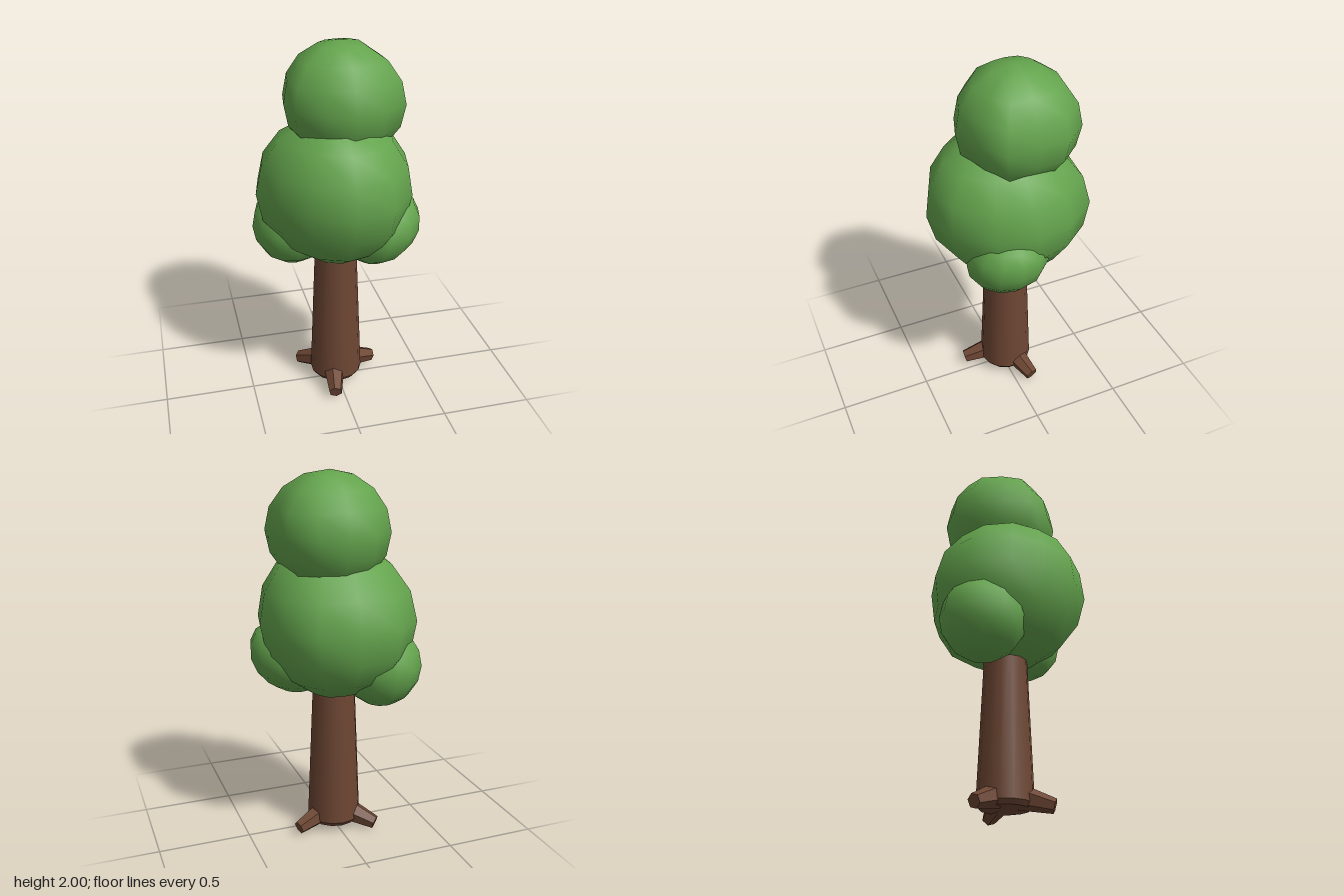
import * as THREE from 'three';
import { mergeVertices } from 'three/addons/utils/BufferGeometryUtils.js';

const leafGreen = new THREE.MeshStandardMaterial({ color: 0x64a44d });
leafGreen.name = 'leafGreen';
const barkBrown = new THREE.MeshStandardMaterial({ color: 0x6d4633 });
barkBrown.name = 'barkBrown';

// Regular twelve-cornered outline, from +x towards +z
const evenOutline = (rx, rz) => Array.from({ length: 12 }, (_, k) =>
  [rx * Math.cos(k * Math.PI / 6), rz * Math.sin(k * Math.PI / 6)]);

// Smooth-shaded 12 x 8 ball of leaves; the outline gives its widest ring as [x, z],
// and lean shifts each ring sideways in proportion to its height
function leafBall(name, center, height, outline, lean = [0, 0]) {
  let geo = new THREE.SphereGeometry(1, 12, 8);
  geo.deleteAttribute('normal');
  geo.deleteAttribute('uv');
  geo = mergeVertices(geo, 1e-3);
  const pos = geo.attributes.position;
  for (let i = 0; i < pos.count; i++) {
    const x = pos.getX(i), z = pos.getZ(i), y = pos.getY(i) * height;
    const column = (Math.round(Math.atan2(z, x) / (Math.PI / 6)) + 12) % 12;
    const ring = Math.hypot(x, z);
    pos.setXYZ(i, outline[column][0] * ring + lean[0] * y, y, outline[column][1] * ring + lean[1] * y);
  }
  geo.computeVertexNormals();
  const mesh = new THREE.Mesh(geo, leafGreen);
  mesh.name = name;
  mesh.position.set(...center);
  return mesh;
}

// Tapered six-sided root between two points, with flat faces
function root(name, from, to) {
  const a = new THREE.Vector3(...from);
  const b = new THREE.Vector3(...to);
  const dir = b.clone().sub(a);
  const geo = new THREE.CylinderGeometry(0.038, 0.064, dir.length(), 6).toNonIndexed();
  geo.computeVertexNormals();
  const mesh = new THREE.Mesh(geo, barkBrown);
  mesh.name = name;
  mesh.position.copy(a).add(b).multiplyScalar(0.5);
  mesh.quaternion.setFromUnitVectors(new THREE.Vector3(0, 1, 0), dir.normalize());
  return mesh;
}

export function createModel() {
  const tree = new THREE.Group();
  tree.name = 'tree';

  // Trunk: smooth taper with a closed, slightly bevelled foot
  const side = new THREE.Mesh(new THREE.CylinderGeometry(0.112, 0.148, 0.87, 14, 1, true), barkBrown);
  side.name = 'trunk';
  side.position.set(0, 0.5, -0.017);
  const foot = new THREE.Mesh(new THREE.CylinderGeometry(0.148, 0.13, 0.025, 14), barkBrown);
  foot.name = 'trunkFoot';
  foot.position.set(0, 0.0525, -0.017);
  tree.add(side, foot);

  // Three roots spreading from the foot
  tree.add(
    root('frontRoot', [-0.03, 0.095, 0.06], [-0.06, 0.047, 0.225]),
    root('leftRoot', [0.07, 0.095, -0.04], [0.235, 0.042, -0.09]),
    root('rightRoot', [-0.07, 0.09, -0.07], [-0.19, 0.038, -0.175]),
  );

  // Crown: main ball, top ball and two low side balls
  const mainOutline = [
    [0.41, -0.02], [0.363, 0.187], [0.22, 0.365], [0, 0.425], [-0.21, 0.34], [-0.345, 0.18],
    [-0.43, -0.02], [-0.385, -0.24], [-0.225, -0.4], [0, -0.428], [0.22, -0.403], [0.355, -0.23],
  ];
  const topOutline = [
    [0.295, 0], [0.3, 0.165], [0.17, 0.255], [0.005, 0.315], [-0.145, 0.265], [-0.275, 0.165],
    [-0.3, 0.005], [-0.275, -0.16], [-0.155, -0.27], [0.005, -0.31], [0.17, -0.285], [0.285, -0.16],
  ];
  tree.add(
    leafBall('mainLeaves', [0, 1.22, 0], 0.42, mainOutline, [0, 0.07]),
    leafBall('topLeaves', [0.035, 1.69, -0.05], 0.31, topOutline),
    leafBall('leftLeaves', [0.225, 1.008, 0.075], 0.205, evenOutline(0.212, 0.22), [0.22, 0]),
    leafBall('rightLeaves', [-0.22, 0.975, -0.145], 0.228, evenOutline(0.22, 0.228)),
  );
  return tree;
}
